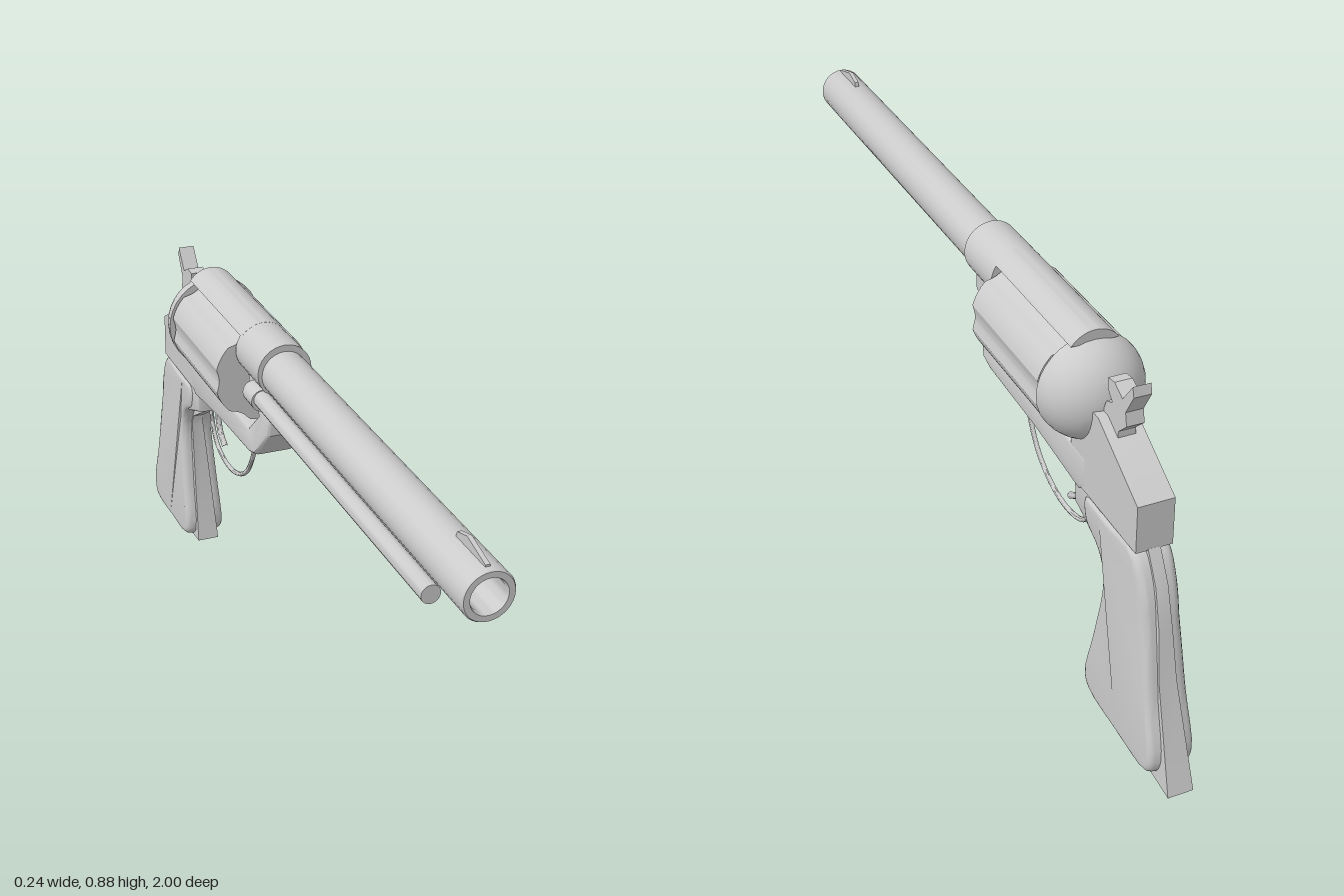
import * as THREE from 'three';
import { toCreasedNormals } from 'three/addons/utils/BufferGeometryUtils.js';

const lerp = THREE.MathUtils.lerp;
const clamp01 = (t) => Math.min(1, Math.max(0, t));

export function createModel() {
  const model = new THREE.Group();
  const material = new THREE.MeshStandardMaterial({ color: 0xcccccc });

  const add = (name, geometry, crease = 0.6) => {
    const mesh = new THREE.Mesh(toCreasedNormals(geometry, crease), material);
    mesh.name = name;
    model.add(mesh);
    return mesh;
  };

  // Lathe along z; profile points are [radius, z]
  const turned = (name, profile, x, y, sides = 32) => {
    const g = new THREE.LatheGeometry(profile.map((p) => new THREE.Vector2(p[0], p[1])), sides);
    g.rotateX(Math.PI / 2);
    g.translate(x, y, 0);
    return add(name, g);
  };
  const rod = (name, r, z0, z1, x, y, sides = 32) =>
    turned(name, [[0, z0], [r, z0], [r, z1], [0, z1]], x, y, sides);

  // Side outline of [z, y] points, extruded across x; half width may follow a rule
  const plate = (name, outline, half, { bevel = 0, smooth = false, width = null } = {}) => {
    let pts = outline.map((p) => new THREE.Vector2(p[0], p[1]));
    if (smooth) {
      const curve = new THREE.CatmullRomCurve3(pts.map((p) => new THREE.Vector3(p.x, p.y, 0)), true);
      pts = curve.getPoints(60).slice(0, 60).map((p) => new THREE.Vector2(p.x, p.y));
    }
    const g = new THREE.ExtrudeGeometry(new THREE.Shape(pts), {
      depth: 2 * (half - bevel), bevelEnabled: bevel > 0, bevelThickness: bevel,
      bevelSize: bevel * 0.8, bevelOffset: -bevel * 0.8, bevelSegments: 4,
    });
    g.translate(0, 0, -(half - bevel));
    g.rotateY(-Math.PI / 2);
    if (width) {
      const p = g.attributes.position;
      for (let i = 0; i < p.count; i++) {
        p.setX(i, p.getX(i) * width(p.getY(i), p.getZ(i)) / half);
      }
    }
    return add(name, g);
  };

  const tube = (name, points, r) => {
    const curve = new THREE.CatmullRomCurve3(points.map((p) => new THREE.Vector3(0, p[1], p[0])));
    return add(name, new THREE.TubeGeometry(curve, 32, r, 8), 1);
  };

  // Barrel with open bore, and the sleeve it screws into
  turned('barrel', [[0, -0.05], [0.056, -0.05], [0.056, 0.995], [0.053, 1], [0.04, 1],
    [0.037, 0.99], [0.037, 0.6], [0, 0.6]], 0, 0.801);
  rod('barrelSleeve', 0.066, -0.17, -0.02, 0, 0.807);
  plate('frontSight', [[0.985, 0.85], [0.985, 0.861], [0.91, 0.88], [0.87, 0.868], [0.865, 0.85]], 0.005);

  // Ejector rod beside and below the barrel
  rod('ejectorRod', 0.021, -0.06, 0.87, -0.052, 0.741, 20);
  rod('ejectorCollar', 0.027, -0.09, -0.03, -0.052, 0.737, 20);

  // Rounded top strap
  const strap = new THREE.Shape();
  strap.absarc(0, 0.807, 0.066, 0.6, Math.PI - 0.6, false);
  strap.closePath();
  const strapGeometry = new THREE.ExtrudeGeometry(strap, { depth: 0.38, bevelEnabled: false, curveSegments: 16 });
  strapGeometry.translate(0, 0, -0.54);
  add('topStrap', strapGeometry);

  // Cylinder with six shallow flutes
  const section = [];
  for (let i = 0; i < 96; i++) {
    const a = (i / 96) * Math.PI * 2;
    const flute = Math.max(0, Math.cos(6 * a));
    const r = 0.117 - 0.01 * flute;
    section.push(new THREE.Vector2(r * Math.cos(a), r * Math.sin(a)));
  }
  const drum = new THREE.ExtrudeGeometry(new THREE.Shape(section), { depth: 0.335, bevelEnabled: false });
  drum.translate(0, 0.732, -0.51);
  add('cylinder', drum, 0.3);
  rod('cylinderPin', 0.025, -0.54, -0.08, 0, 0.732, 20);

  // Domed recoil shield
  const dome = [];
  for (let i = 0; i <= 12; i++) {
    const a = (i / 12) * Math.PI / 2;
    dome.push([0.12 * Math.sin(a), -0.518 - 0.11 * Math.cos(a)]);
  }
  dome.push([0, -0.518]);
  turned('recoilShield', dome, 0, 0.733);

  // Frame: block under the sleeve, curved front arm with lower strap, rear block
  plate('sleeveBlock', [[-0.02, 0.705], [-0.02, 0.77], [-0.165, 0.77], [-0.165, 0.705]], 0.036);
  plate('lowerFrame', [[-0.068, 0.72], [-0.04, 0.68], [-0.04, 0.635], [-0.09, 0.565], [-0.13, 0.553],
    [-0.35, 0.53], [-0.57, 0.508], [-0.6, 0.53], [-0.6, 0.605], [-0.16, 0.605], [-0.108, 0.66],
    [-0.112, 0.72]], 0.042, {
    bevel: 0.012,
    width: (y, z) => (z > -0.14 ? lerp(0.052, 0.035, clamp01((y - 0.57) / 0.09)) : 0.043),
  });
  plate('rearFrame', [[-0.53, 0.52], [-0.53, 0.735], [-0.645, 0.735], [-0.822, 0.634], [-0.825, 0.522],
    [-0.6, 0.522]], 0.042);

  // Trigger and its guard
  tube('triggerGuard', [[-0.22, 0.545], [-0.235, 0.49], [-0.29, 0.41], [-0.37, 0.366], [-0.45, 0.358],
    [-0.52, 0.38], [-0.555, 0.43], [-0.56, 0.52]], 0.006);
  tube('trigger', [[-0.5, 0.53], [-0.507, 0.48], [-0.492, 0.43], [-0.455, 0.402]], 0.008);
  plate('guardRoot', [[-0.545, 0.53], [-0.55, 0.465], [-0.58, 0.455], [-0.64, 0.43], [-0.68, 0.53]], 0.04,
    { bevel: 0.008 });

  // Hammer with thumb spur
  plate('hammer', [[-0.61, 0.7], [-0.635, 0.765], [-0.66, 0.775], [-0.64, 0.795], [-0.638, 0.822],
    [-0.665, 0.826], [-0.7, 0.808], [-0.738, 0.858], [-0.744, 0.836], [-0.715, 0.785], [-0.722, 0.755],
    [-0.69, 0.725], [-0.69, 0.69]], 0.02);

  // Grip: metal strap around rounded panels
  plate('gripStrap', [[-0.57, 0.525], [-0.825, 0.525], [-0.865, 0.455], [-0.892, 0.36], [-0.915, 0.24],
    [-0.998, 0], [-0.618, 0.03], [-0.685, 0.36], [-0.68, 0.39], [-0.57, 0.455]], 0.03,
  { width: (y) => lerp(0.03, 0.014, clamp01(y / 0.4)) });
  plate('gripPanels', [[-0.6, 0.515], [-0.7, 0.52], [-0.81, 0.52], [-0.858, 0.45], [-0.885, 0.35],
    [-0.918, 0.2], [-0.955, 0.065], [-0.935, 0.022], [-0.8, 0.018], [-0.67, 0.028], [-0.642, 0.06],
    [-0.668, 0.2], [-0.69, 0.36], [-0.665, 0.415], [-0.605, 0.455]], 0.05, {
    bevel: 0.02, smooth: true,
    width: (y) => (y > 0.38 ? lerp(0.043, 0.046, clamp01((y - 0.38) / 0.14))
      : lerp(0.053, 0.043, clamp01((y - 0.1) / 0.28))),
  });

  return model;
}
